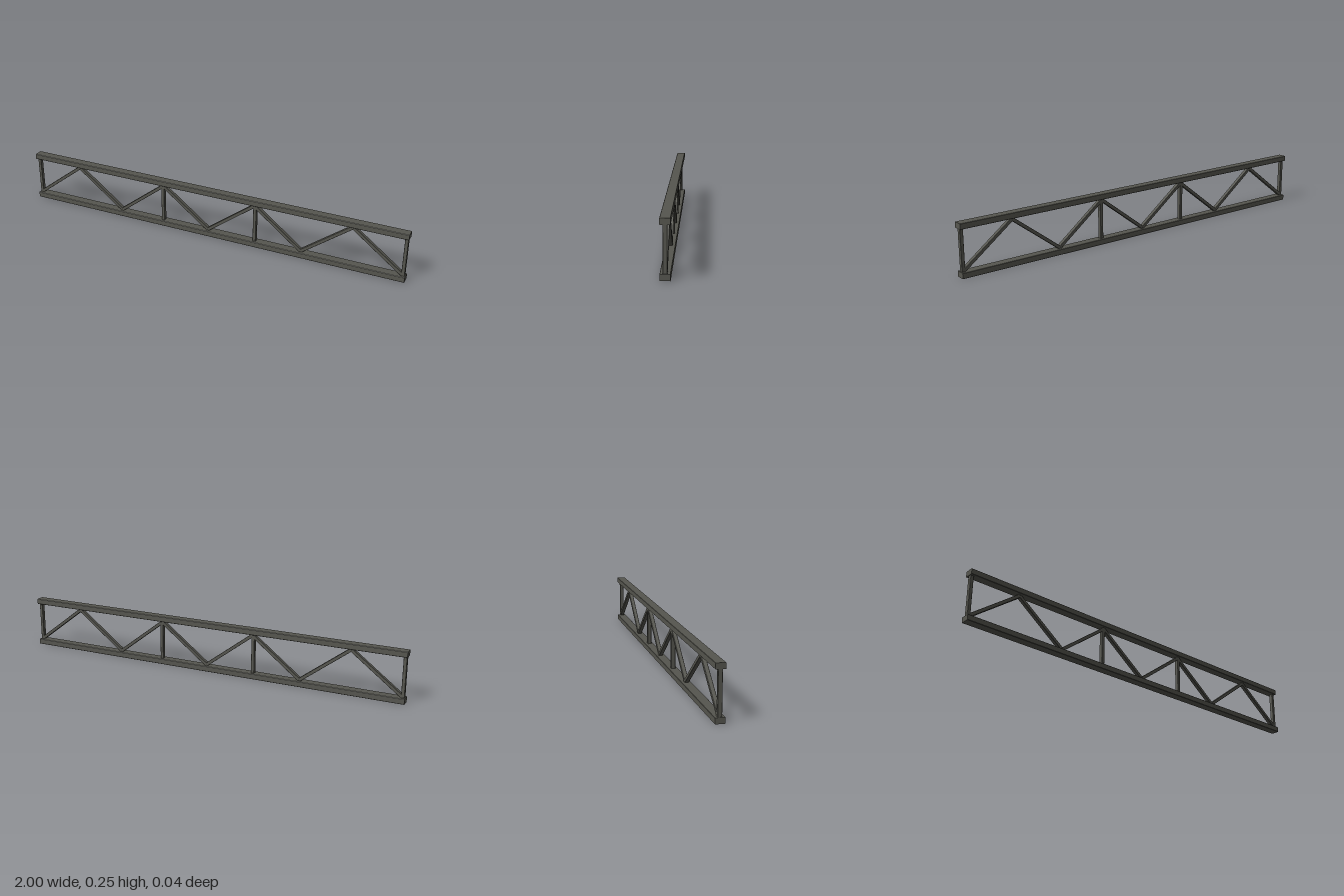
import * as THREE from 'three';

const steel = new THREE.MeshStandardMaterial({ color: 0x56564f });
steel.name = 'dark steel';

// Straight bar with a slightly chamfered rectangular section, from (x1,y1) to (x2,y2)
function bar(name, x1, y1, x2, y2, height, depth, chamfer) {
  const h = height / 2, d = depth / 2, c = chamfer;
  const section = new THREE.Shape([
    [-d + c, -h], [d - c, -h], [d, -h + c], [d, h - c],
    [d - c, h], [-d + c, h], [-d, h - c], [-d, -h + c],
  ].map(([x, y]) => new THREE.Vector2(x, y)));
  const length = Math.hypot(x2 - x1, y2 - y1);
  const geometry = new THREE.ExtrudeGeometry(section, { depth: length, bevelEnabled: false });
  geometry.translate(0, 0, -length / 2).rotateY(Math.PI / 2);
  const mesh = new THREE.Mesh(geometry, steel);
  mesh.name = name;
  mesh.position.set((x1 + x2) / 2, (y1 + y2) / 2, 0);
  mesh.rotation.z = Math.atan2(y2 - y1, x2 - x1);
  return mesh;
}

export function createModel() {
  const truss = new THREE.Group();
  truss.name = 'truss';

  // Long chords along the top and bottom
  const chordH = 0.027, chordD = 0.044, top = 0.25;
  truss.add(bar('bottomChord', -1, chordH / 2, 1, chordH / 2, chordH, chordD, 0.0015));
  truss.add(bar('topChord', -1, top - chordH / 2, 1, top - chordH / 2, chordH, chordD, 0.0015));

  // Upright posts at the ends and quarter points
  const web = 0.019, low = 0.026, high = 0.224;
  for (const x of [-0.988, -0.25, 0.25, 0.988]) {
    truss.add(bar('post', x, low, x, high, 0.016, web, 0.001));
  }

  // Zigzag of diagonal braces between the chords
  const nodes = [-0.985, -0.737, -0.49, -0.247, 0, 0.247, 0.49, 0.737, 0.985];
  const nodeY = (i) => (i % 2 ? 0.218 : 0.031);
  for (let i = 0; i < nodes.length - 1; i++) {
    truss.add(bar('diagonalBrace', nodes[i], nodeY(i), nodes[i + 1], nodeY(i + 1), 0.016, web, 0.001));
  }
  return truss;
}
